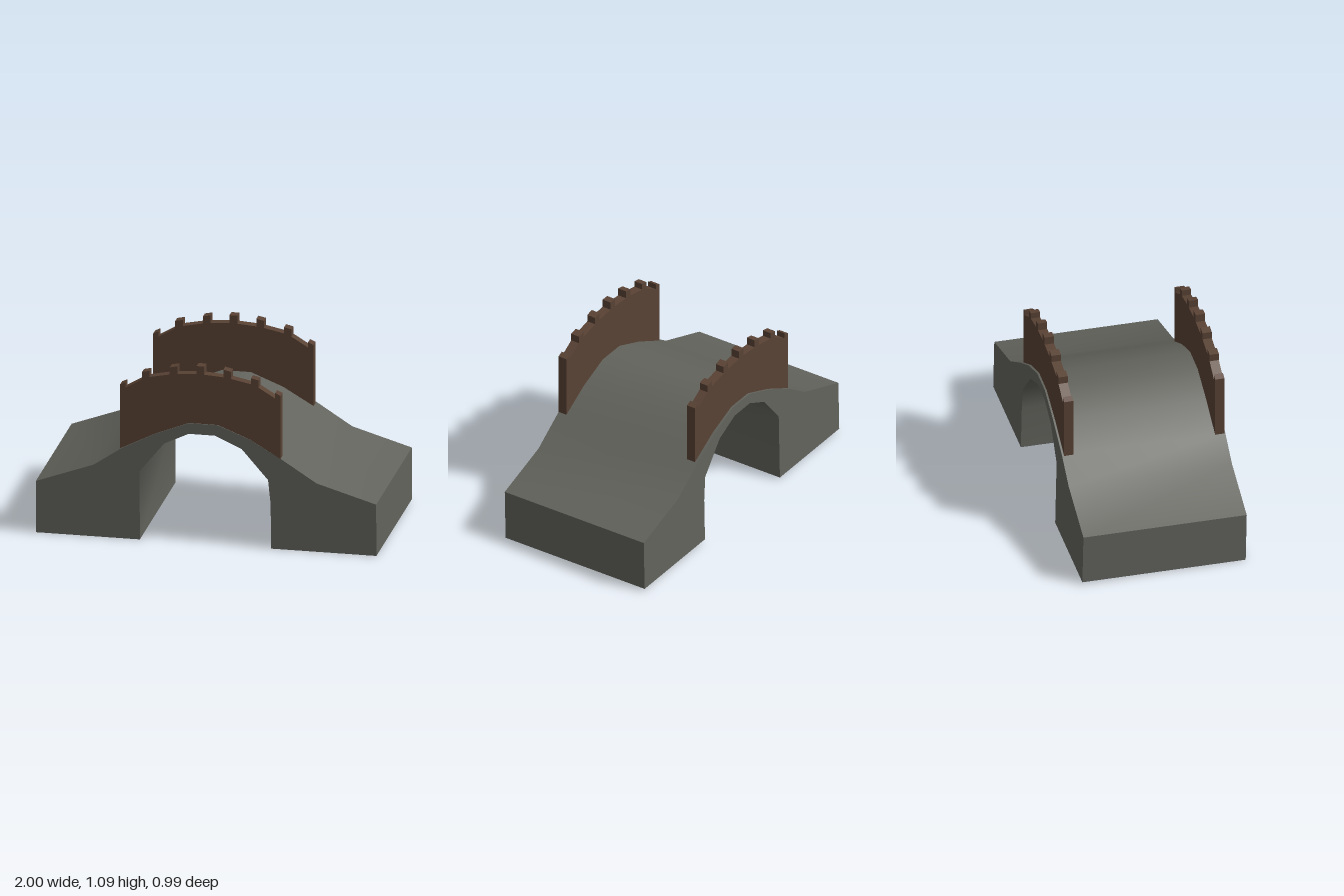
import * as THREE from 'three';
import { toCreasedNormals } from 'three/addons/utils/BufferGeometryUtils.js';

const stone = new THREE.MeshStandardMaterial({ color: 0x62635c });
stone.name = 'grey stone';
const timber = new THREE.MeshStandardMaterial({ color: 0x594234 });
timber.name = 'brown parapet';

// Road line over the bridge, from -x to +x
const road = [[-1, 0.315], [-0.66, 0.44], [-0.5, 0.55], [-0.3, 0.655], [-0.1, 0.735],
  [0.07, 0.735], [0.26, 0.66], [0.44, 0.555], [0.65, 0.42], [1, 0.315]];

// Underside of the arch, from -x to +x
const arch = [[-0.39, 0], [-0.39, 0.42], [-0.245, 0.6], [-0.1, 0.67],
  [0.055, 0.67], [0.21, 0.6], [0.365, 0.42], [0.38, 0.27], [0.38, 0]];

const extrude = (points, depth) => new THREE.ExtrudeGeometry(
  new THREE.Shape(points.map(([x, y]) => new THREE.Vector2(x, y))),
  { depth, bevelEnabled: false });

function bridgeBody() {
  let geo = extrude([[-1, 0], ...arch, [1, 0], ...road.slice().reverse()], 1);
  // Slightly crooked: the back sits higher and the block leans a little
  const p = geo.attributes.position;
  for (let i = 0; i < p.count; i++) {
    const x = p.getX(i), y = p.getY(i), t = p.getZ(i);
    p.setXYZ(i, x, y + (1 - t) * 0.013, -0.4875 + 0.97 * t - 0.0075 * x + 0.02 * (y - 0.3));
  }
  geo = toCreasedNormals(geo, 0.9);
  const mesh = new THREE.Mesh(geo, stone);
  mesh.name = 'archedBridgeBody';
  return mesh;
}

// Parapet: arched wall with merlons, mirrored about its own centre
function parapet(name, z, lift) {
  const cx = -0.033;
  // right half of the crenellated top, from the middle outwards
  const half = [[0.023, 1.085], [0.023, 1.036], [0.135, 1.028], [0.135, 1.075], [0.18, 1.065],
    [0.18, 1.022], [0.298, 0.998], [0.298, 1.035], [0.343, 1.025], [0.343, 0.98],
    [0.44, 0.922], [0.44, 0.955], [0.472, 0.94]];
  const top = [
    ...half.map(([x, y]) => [cx - x, y]).reverse(),
    ...half.map(([x, y]) => [cx + x, y]),
  ];
  // lower edge follows the road
  const bottom = road.slice(2, 8).map(([x, y]) => [x, y + lift]);
  bottom[0][0] = cx - 0.472;
  bottom[5][0] = cx + 0.472;
  const mesh = new THREE.Mesh(extrude([...bottom, ...top.reverse()], 0.055), timber);
  mesh.position.z = z;
  mesh.name = name;
  return mesh;
}

export function createModel() {
  const model = new THREE.Group();
  model.name = 'archedBridge';
  model.add(bridgeBody());
  model.add(parapet('frontParapet', 0.43, 0));
  model.add(parapet('backParapet', -0.467, 0.01));
  return model;
}
